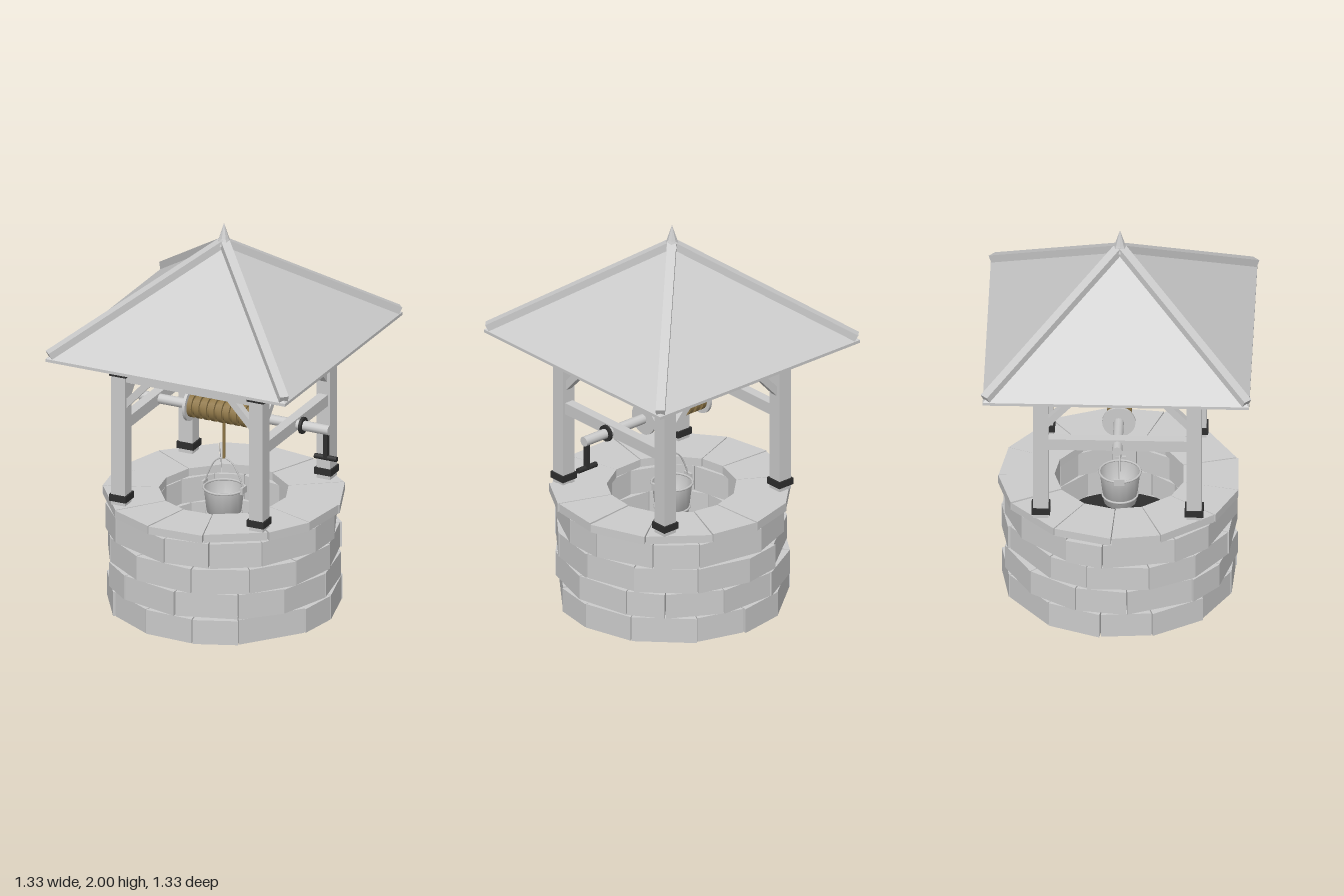
import * as THREE from 'three';

const mat = (name, color) => Object.assign(new THREE.MeshStandardMaterial({ color }), { name });

export function createModel() {
  const well = new THREE.Group();
  well.name = 'well';
  const stone = mat('paleStone', 0xcccccc);
  const wood = mat('paleWood', 0xcbcbcb);
  const iron = mat('darkIron', 0x2e2e2e);
  const rope = mat('rope', 0x8f7748);
  const steel = mat('bucketMetal', 0xc8c8c8);
  steel.side = THREE.DoubleSide;

  let seed = 7;
  const rand = () => (seed = (seed * 16807) % 2147483647) / 2147483647;

  const add = (name, geo, material, x = 0, y = 0, z = 0) => {
    const m = new THREE.Mesh(geo, material);
    m.name = name;
    m.position.set(x, y, z);
    well.add(m);
    return m;
  };
  const box = (name, material, w, h, d, x, y, z) =>
    add(name, new THREE.BoxGeometry(w, h, d), material, x, y, z);
  // Square timber running between two points
  const beam = (name, a, b, w, h) => {
    const p = new THREE.Vector3(...a), q = new THREE.Vector3(...b);
    const m = add(name, new THREE.BoxGeometry(w, h, p.distanceTo(q)), wood);
    m.position.copy(p).add(q).multiplyScalar(0.5);
    m.lookAt(q);
    return m;
  };
  // Cylinder lying along x
  const axleDisc = (name, material, r, len, x, y = 1.005, sides = 16) =>
    add(name, new THREE.CylinderGeometry(r, r, len, sides).rotateZ(Math.PI / 2), material, x, y, 0);

  // Rings of wedge stones with straight inner and outer faces
  const ring = (name, count, start, y, h, inner, outer) => {
    const step = Math.PI * 2 / count;
    const edges = [];
    for (let i = 0; i < count; i++) edges.push(start + i * step + (i ? (rand() - 0.5) * 0.17 : 0));
    edges.push(edges[0] + Math.PI * 2);
    for (let i = 0; i < count; i++) {
      const a = edges[i] + 0.005, b = edges[i + 1] - 0.005;
      const r = outer + (rand() - 0.5) * 0.016;
      const pt = (rad, t) => new THREE.Vector2(rad * Math.sin(t), -rad * Math.cos(t));
      const shape = new THREE.Shape([pt(inner, a), pt(r, a), pt(r, b), pt(inner, b)]);
      const geo = new THREE.ExtrudeGeometry(shape, { depth: h + (rand() - 0.5) * 0.006, bevelEnabled: false });
      add(name, geo.rotateX(-Math.PI / 2), stone, 0, y, 0);
    }
  };
  [0.18, 0.02, 0.175, 0.325].forEach((start, i) =>
    ring('wallStone', 13, start, i * 0.134, 0.128, 0.335, 0.573));
  ring('capStone', 13, 0.28, 0.545, 0.043, 0.32, 0.593);
  add('water', new THREE.CylinderGeometry(0.335, 0.335, 0.008, 24), iron, 0, 0.26, 0);

  // Posts, iron bands and rafters
  const P = 0.375;
  for (const sx of [-1, 1]) for (const sz of [-1, 1]) {
    box('post', wood, 0.075, 0.765, 0.075, sx * P, 0.968, sz * P);
    for (const y of [0.625, 1.287]) box('postBand', iron, 0.092, 0.034, 0.092, sx * P, y, sz * P);
    beam('rafter', [sx * P, 1.24, sz * P], [0, 1.8, 0], 0.045, 0.045);
    beam('frontBrace', [sx * 0.355, 1.11, sz * P], [sx * 0.15, 1.33, sz * P], 0.04, 0.035);
    beam('sideBrace', [sx * P, 1.11, sz * 0.355], [sx * P, 1.33, sz * 0.15], 0.04, 0.035);
  }
  // Horizontal ties and axle bearers
  for (const s of [-1, 1]) {
    box('frontTie', wood, 0.7, 0.058, 0.05, 0, 1.27, s * P);
    box('sideTie', wood, 0.05, 0.058, 0.7, s * P, 1.31, 0);
    box('axleBearer', wood, 0.05, 0.06, 0.7, s * P, 1.005, 0);
  }

  // Hollow four-sided roof with hip caps and a finial
  const R = 0.652 * Math.SQRT2;
  const profile = [[0, 1.865], [R, 1.387], [R, 1.402], [0, 1.892]].map(p => new THREE.Vector2(...p));
  const roof = new THREE.LatheGeometry(profile, 4, Math.PI / 4).toNonIndexed();
  roof.computeVertexNormals();
  add('roof', roof, wood);
  for (const sx of [-1, 1]) for (const sz of [-1, 1])
    beam('hipCap', [sx * 0.64, 1.418, sz * 0.64], [0, 1.9, 0], 0.045, 0.04);
  const spire = new THREE.LatheGeometry(
    [[0, 1.87], [0.04, 1.885], [0.026, 1.92], [0, 2]].map(p => new THREE.Vector2(...p)), 8).toNonIndexed();
  spire.computeVertexNormals();
  add('finial', spire, wood);

  // Windlass
  axleDisc('axle', wood, 0.025, 1.03, 0.06, 1.005, 12);
  axleDisc('ropeCore', rope, 0.048, 0.35, 0);
  for (let i = -4; i <= 4; i++) axleDisc('ropeCoil', rope, 0.061, 0.025, i * 0.041);
  for (const s of [-1, 1]) axleDisc('drumFlange', wood, 0.082, 0.014, s * 0.182, 1.005, 24);
  axleDisc('axleCollar', iron, 0.042, 0.014, 0.43);
  box('crankArm', iron, 0.022, 0.14, 0.026, 0.556, 0.925, 0);
  axleDisc('crankHandle', iron, 0.014, 0.12, 0.555, 0.858, 8);
  add('hangingRope', new THREE.CylinderGeometry(0.007, 0.007, 0.23, 8), rope, 0, 0.868, 0);

  // Bucket with rim, ears and bail
  const bucket = [[0, 0.43], [0.08, 0.43], [0.1, 0.6]].map(p => new THREE.Vector2(...p));
  add('bucket', new THREE.LatheGeometry(bucket, 16), steel);
  for (const [y, r] of [[0.6, 0.101], [0.47, 0.086]])
    add('bucketHoop', new THREE.TorusGeometry(r, 0.006, 6, 20).rotateX(Math.PI / 2), steel, 0, y, 0);
  for (const s of [-1, 1]) box('bucketEar', steel, 0.012, 0.035, 0.05, s * 0.106, 0.603, 0);
  const arch = [[-0.106, 0.605], [-0.085, 0.665], [-0.045, 0.735], [0, 0.755],
    [0.045, 0.735], [0.085, 0.665], [0.106, 0.605]].map(([x, y]) => new THREE.Vector3(x, y, 0));
  add('bucketBail', new THREE.TubeGeometry(new THREE.CatmullRomCurve3(arch), 24, 0.004, 6), steel);

  return well;
}
